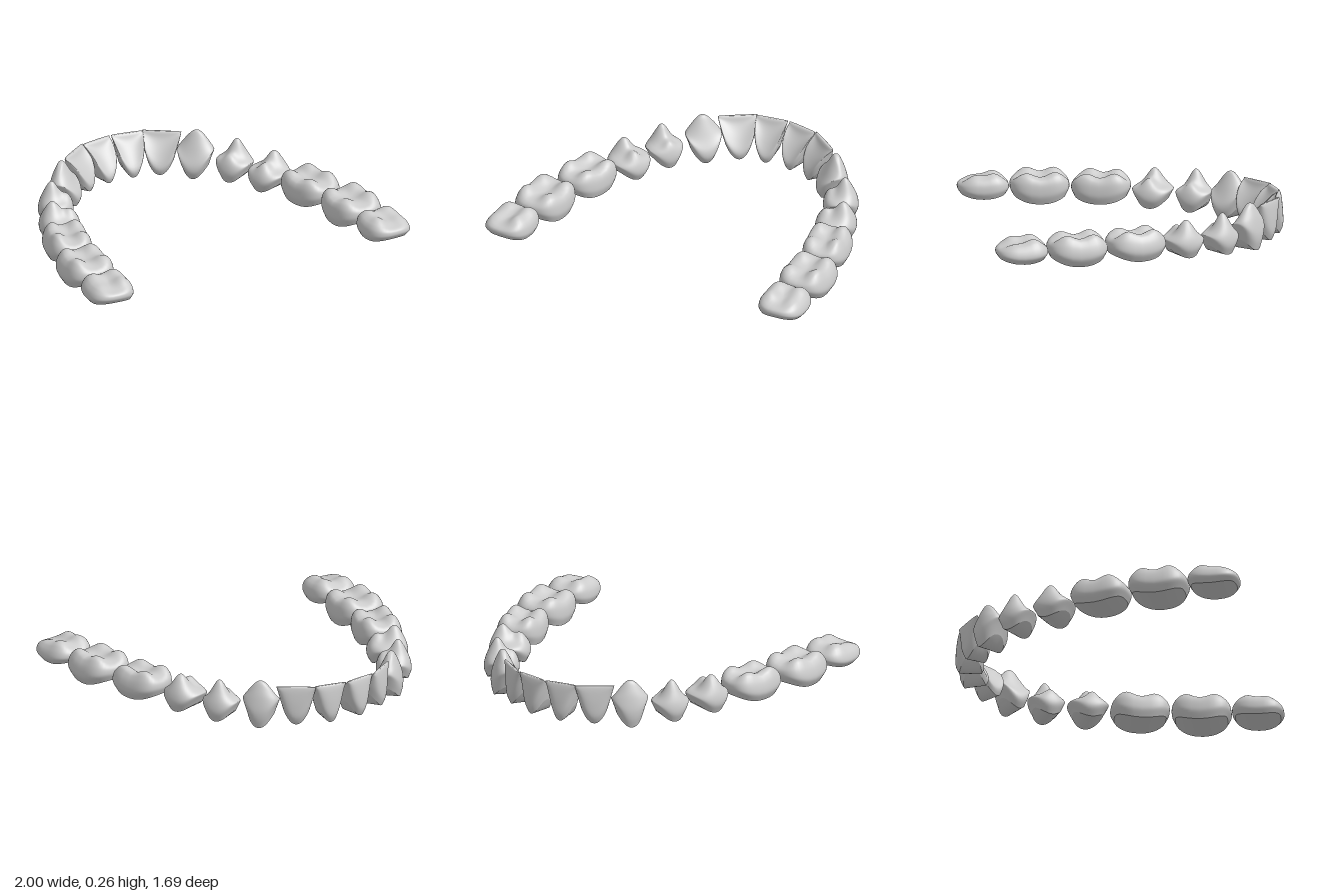
import * as THREE from 'three';

// Crown profiles, bottom margin to top: [width scale, depth scale, outward shift, height fraction]
const INCISOR = [[.7, .78, -.05, 0], [.86, .97, 0, .2], [.96, .71, .27, .5], [1, .33, .57, .8],
  [1, .17, .64, .96], [.97, .08, .65, 1], [.5, .04, .65, 1], [0, 0, .65, 1]];
const CANINE = [[.7, .78, .05, 0], [.88, .97, 0, .25], [1, .93, .04, .52], [.93, .62, .17, .8],
  [.78, .3, .24, .95], [.55, .14, .25, 1], [.28, .07, .25, 1], [0, 0, .25, 1]];
const PREMOLAR = [[.75, .8, 0, 0], [.93, .97, 0, .3], [1, 1, 0, .55], [.94, .93, 0, .8],
  [.82, .8, 0, .95], [.62, .62, 0, 1], [.4, .4, 0, 1], [.2, .2, 0, 1], [0, 0, 0, 1]];
const MOLAR = [[.88, .86, -.03, 0], [.98, .99, 0, .3], [1, 1, 0, .55], [.97, .94, -.02, .82],
  [.88, .83, -.04, .97], [.74, .7, -.04, 1], [.52, .5, -.04, 1], [.26, .25, -.04, 1], [0, 0, -.04, 1]];

// Cusps: [along arch, outward, height, spread]
const FOUR_CUSPS = [[-.48, .5, .05, .4], [.42, .55, .05, .4], [-.5, -.55, .05, .4], [.45, -.55, .045, .4]];

// angle: how far the outward side turns towards the middle of the arch (degrees)
const TEETH = [
  { name: 'centralIncisor', x: .087, z: -.77, angle: 80, w: .091, d: .08, n: 2.2, y0: .015, base: .235, rise: .17, profile: INCISOR, cusps: [] },
  { name: 'lateralIncisor', x: .25, z: -.714, angle: 55, w: .108, d: .072, n: 2.2, y0: .015, base: .235, rise: .17, profile: INCISOR, cusps: [] },
  { name: 'canine', x: .41, z: -.607, angle: 44, w: .102, d: .09, n: 2.2, y0: 0, base: .16, rise: .13, profile: CANINE, cusps: [[0, .25, .1, .75]] },
  { name: 'firstPremolar', x: .563, z: -.438, angle: 30, w: .103, d: .098, n: 2.2, y0: .015, base: .135, rise: .09, profile: PREMOLAR,
    cusps: [[0, .25, .108, .5], [0, -.6, .03, .35]] },
  { name: 'secondPremolar', x: .66, z: -.22, angle: 20, w: .113, d: .114, n: 2.3, y0: .025, base: .14, rise: .08, profile: PREMOLAR,
    cusps: [[0, .36, .092, .48], [.1, -.5, .045, .35]] },
  { name: 'firstMolar', x: .765, z: .055, angle: 14, w: .163, d: .125, n: 3, y0: .038, base: .155, rise: .045, profile: MOLAR, cusps: FOUR_CUSPS },
  { name: 'secondMolar', x: .838, z: .388, angle: 4, w: .165, d: .139, n: 3, y0: .035, base: .155, rise: .05, profile: MOLAR, cusps: FOUR_CUSPS },
  { name: 'thirdMolar', x: .868, z: .698, angle: 3, w: .143, d: .13, n: 2.8, y0: .062, base: .14, rise: .03, profile: MOLAR,
    cusps: [[-.4, .45, .05, .45], [-.4, -.5, .055, .45], [.35, .5, .025, .4], [.35, -.5, .045, .4]] },
];

const SIDES = 40, STEPS = 32;

function toothGeometry(t, side) {
  const a = THREE.MathUtils.degToRad(t.angle), sin = Math.sin(a), cos = Math.cos(a);
  const positions = [], index = [];

  // wavy lower margin and cusped upper surface
  const bottom = (u, v) => t.y0 + t.rise * u * u;
  const top = (u, v) => t.cusps.reduce((y, [cu, cv, h, s]) =>
    y + h * Math.exp(-((u - cu) ** 2 + (v - cv) ** 2) / (s * s)), t.base);

  // superellipse ring, placed in the arch
  const addRing = (su, sv, shift, f) => {
    for (let j = 0; j < SIDES; j++) {
      const q = j / SIDES * Math.PI * 2, c = Math.cos(q), s = Math.sin(q);
      const u = su * Math.sign(c) * Math.abs(c) ** (2 / t.n);
      const v = sv * Math.sign(s) * Math.abs(s) ** (2 / t.n) + shift;
      const y = THREE.MathUtils.lerp(bottom(u, v), top(u, v), f);
      positions.push(side * (t.x + u * t.w * sin + v * t.d * cos), y, t.z + u * t.w * cos - v * t.d * sin);
    }
  };
  const addStrip = (first, count) => {
    for (let i = first; i < first + count - 1; i++) for (let j = 0; j < SIDES; j++) {
      const k = (j + 1) % SIDES;
      const [p, q, r, s] = [i * SIDES + j, i * SIDES + k, (i + 1) * SIDES + k, (i + 1) * SIDES + j];
      if (side > 0) index.push(p, q, r, p, r, s);
      else index.push(p, r, q, p, s, r);
    }
  };

  // underside
  const [mu, mv, mShift] = t.profile[0];
  for (const k of [0, .25, .5, .75, 1]) addRing(mu * k, mv * k, mShift, 0);
  addStrip(0, 5);

  // wall and biting surface, smoothed through the profile
  const scale = new THREE.SplineCurve(t.profile.map(p => new THREE.Vector2(p[0], p[1])));
  const place = new THREE.SplineCurve(t.profile.map(p => new THREE.Vector2(p[2], p[3])));
  for (let i = 0; i <= STEPS; i++) {
    const s = scale.getPoint(i / STEPS), p = place.getPoint(i / STEPS);
    addRing(Math.max(s.x, 0), Math.max(s.y, 0), p.x, Math.min(p.y, 1));
  }
  addStrip(5, STEPS + 1);

  const geometry = new THREE.BufferGeometry();
  geometry.setAttribute('position', new THREE.Float32BufferAttribute(positions, 3));
  geometry.setIndex(index);
  geometry.computeVertexNormals();
  return geometry;
}

export function createModel() {
  const model = new THREE.Group();
  model.name = 'dentalArch';
  const material = new THREE.MeshStandardMaterial({ color: 0xcccccc });
  for (const [label, side] of [['left', 1], ['right', -1]]) {
    const half = new THREE.Group();
    half.name = label + 'Half';
    for (const t of TEETH) {
      const mesh = new THREE.Mesh(toothGeometry(t, side), material);
      mesh.name = label + t.name[0].toUpperCase() + t.name.slice(1);
      half.add(mesh);
    }
    model.add(half);
  }
  return model;
}
